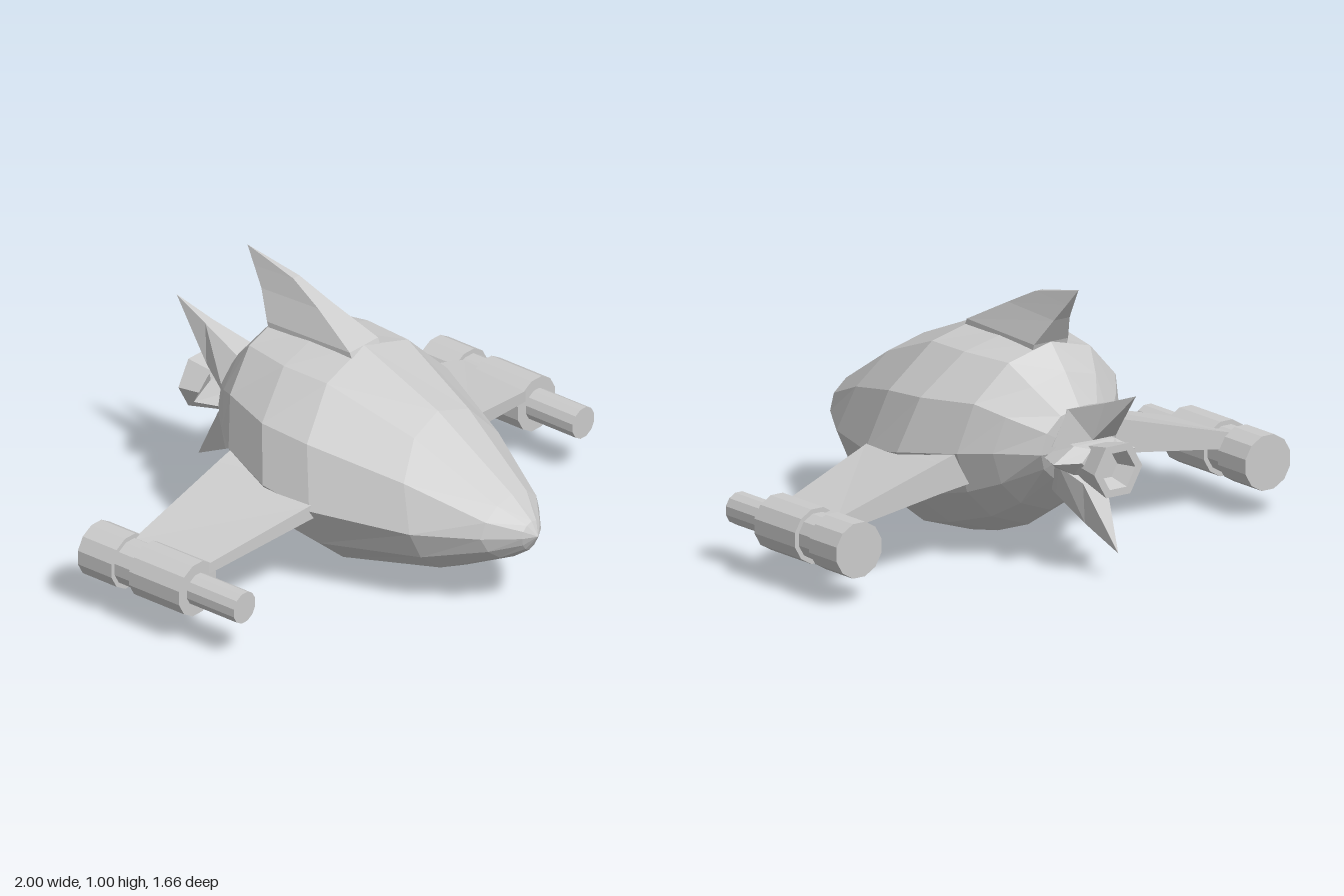
import * as THREE from 'three';

const material = new THREE.MeshStandardMaterial({ color: 0xcccccc, flatShading: true });

// Skins a list of equal-length point rings and closes both ends with fans
function loft(name, rings) {
  const tris = [];
  const add = (a, b, c) => {
    const area = b.clone().sub(a).cross(c.clone().sub(a)).length();
    if (area > 1e-7) tris.push([a, b, c]);
  };
  const pts = rings.map(r => r.map(p => new THREE.Vector3(...p)));
  const n = pts[0].length;
  for (let i = 0; i < pts.length - 1; i++) {
    for (let j = 0; j < n; j++) {
      const k = (j + 1) % n;
      add(pts[i][j], pts[i][k], pts[i + 1][k]);
      add(pts[i][j], pts[i + 1][k], pts[i + 1][j]);
    }
  }
  const last = pts[pts.length - 1];
  for (let j = 1; j < n - 1; j++) {
    add(pts[0][0], pts[0][j + 1], pts[0][j]);
    add(last[0], last[j], last[j + 1]);
  }
  // Turn the faces outward whichever way the rings run
  const volume = tris.reduce((v, [a, b, c]) => v + a.dot(b.clone().cross(c)), 0);
  if (volume < 0) tris.forEach(t => t.reverse());
  const geometry = new THREE.BufferGeometry().setFromPoints(tris.flat());
  geometry.computeVertexNormals();
  const mesh = new THREE.Mesh(geometry, material);
  mesh.name = name;
  return mesh;
}

// Four-cornered ring from an upper and a lower edge: [half width, y, z]
const quad = ([w1, y1, z1], [w2, y2, z2]) =>
  [[-w1, y1, z1], [w1, y1, z1], [w2, y2, z2], [-w2, y2, z2]];

// Twelve-sided hull section, leaning so that top, side and keel have their own z
function hullRing([zTop, yTop, zSide, ySide, width, zKeel, yKeel]) {
  const ring = [];
  for (let i = 0; i < 12; i++) {
    const a = (i / 12) * Math.PI * 2;
    const s = Math.sin(a), c = Math.cos(a);
    const shrink = s < -0.1 ? 0.94 : 1;
    if (s >= 0) {
      ring.push([c * width, ySide + (yTop - ySide) * s, zSide + (zTop - zSide) * s]);
    } else {
      const t = s < -0.99 ? 1 : -s * shrink;
      ring.push([c * width * shrink, ySide + (yKeel - ySide) * t, zSide + (zKeel - zSide) * t]);
    }
  }
  return ring;
}

// Cylinder lying along z between two stations
function zCylinder(name, radius, zFront, zBack) {
  const g = new THREE.CylinderGeometry(radius, radius, zFront - zBack, 12);
  g.rotateY(Math.PI / 12).rotateX(Math.PI / 2).translate(0, 0, (zFront + zBack) / 2);
  const mesh = new THREE.Mesh(g, material);
  mesh.name = name;
  return mesh;
}

export function createModel() {
  const model = new THREE.Group();
  model.name = 'spacecraft';

  // Hull, nose to tail: zTop, yTop, zSide, ySide, width, zKeel, yKeel
  model.add(loft('hull', [
    [0.83, 0.315, 0.83, 0.315, 0, 0.83, 0.315],
    [0.80, 0.365, 0.80, 0.315, 0.05, 0.79, 0.25],
    [0.71, 0.44, 0.70, 0.32, 0.155, 0.72, 0.20],
    [0.37, 0.65, 0.49, 0.32, 0.29, 0.50, 0.09],
    [0.03, 0.79, 0.15, 0.35, 0.43, 0.10, 0],
    [-0.16, 0.79, -0.05, 0.39, 0.445, -0.05, 0.03],
    [-0.35, 0.78, -0.28, 0.42, 0.36, -0.22, 0.09],
    [-0.43, 0.69, -0.38, 0.43, 0.28, -0.34, 0.17],
    [-0.51, 0.58, -0.50, 0.43, 0.16, -0.45, 0.30],
    [-0.52, 0.43, -0.52, 0.43, 0, -0.52, 0.43],
  ].map(hullRing)));

  // Dorsal fin, swept back to a point
  model.add(loft('dorsalFin', [
    quad([0.075, 0.72, 0.06], [0.075, 0.72, -0.33]),
    quad([0.075, 0.79, 0.03], [0.075, 0.78, -0.35]),
    quad([0.035, 0.885, -0.15], [0.035, 0.875, -0.41]),
    quad([0.016, 0.95, -0.28], [0.016, 0.94, -0.46]),
    quad([0, 1, -0.505], [0, 1, -0.505]),
  ]));

  // Tail fins above and below the engine
  model.add(loft('upperTailFin', [
    quad([0.05, 0.57, -0.47], [0.12, 0.44, -0.44]),
    quad([0.05, 0.58, -0.51], [0.12, 0.455, -0.51]),
    quad([0.02, 0.635, -0.68], [0.05, 0.50, -0.65]),
    quad([0, 0.69, -0.83], [0, 0.69, -0.83]),
  ]));
  model.add(loft('lowerTailFin', [
    quad([0.10, 0.40, -0.46], [0.05, 0.28, -0.40]),
    quad([0.09, 0.38, -0.51], [0.05, 0.26, -0.44]),
    quad([0.05, 0.33, -0.595], [0.03, 0.18, -0.58]),
    quad([0, 0.10, -0.73], [0, 0.10, -0.73]),
  ]));

  // Flat flared collar around the engine
  const collarRing = (rx, ry, z) => Array.from({ length: 6 }, (_, i) => {
    const a = (i / 6) * Math.PI * 2;
    return [Math.cos(a) * rx, 0.42 + Math.sin(a) * ry, z];
  });
  model.add(loft('engineCollar', [
    collarRing(0.13, 0.07, -0.46),
    collarRing(0.18, 0.06, -0.595),
    collarRing(0.09, 0.05, -0.64),
  ]));

  // Hollow six-sided nozzle, opening to the rear
  const profile = [[0, 0.48], [0.06, 0.48], [0.075, 0.59], [0.106, 0.73],
    [0.075, 0.73], [0.05, 0.66], [0, 0.66]].map(p => new THREE.Vector2(...p));
  const nozzleGeometry = new THREE.LatheGeometry(profile, 6);
  nozzleGeometry.rotateY(Math.PI / 6).rotateX(-Math.PI / 2);
  const nozzle = new THREE.Mesh(nozzleGeometry, material);
  nozzle.name = 'engineNozzle';
  nozzle.position.y = 0.40;
  model.add(nozzle);

  for (const [side, s] of [['left', 1], ['right', -1]]) {
    // Tapered wing, thicker along its trailing edge
    const wingRing = (x, zFront, zBack, frontTop, frontBottom, backTop, backBottom) => [
      [s * x, frontTop, zFront], [s * x, backTop, zBack],
      [s * x, backBottom, zBack], [s * x, frontBottom, zFront]];
    model.add(loft(side + 'Wing', [
      wingRing(0.30, 0.185, -0.27, 0.395, 0.335, 0.435, 0.30),
      wingRing(0.43, 0.15, -0.27, 0.37, 0.315, 0.40, 0.285),
      wingRing(0.88, 0.035, -0.27, 0.265, 0.225, 0.275, 0.22),
    ]));

    // Wingtip pod with its forward barrel
    const pod = new THREE.Group();
    pod.name = side + 'Pod';
    pod.position.set(s * 0.9, 0.2, 0);
    pod.add(
      zCylinder('barrel', 0.059, 0.26, 0.02),
      zCylinder('frontHousing', 0.102, 0.045, -0.185),
      zCylinder('waist', 0.085, -0.17, -0.28),
      zCylinder('rearHousing', 0.102, -0.265, -0.42),
    );
    model.add(pod);
  }
  return model;
}
